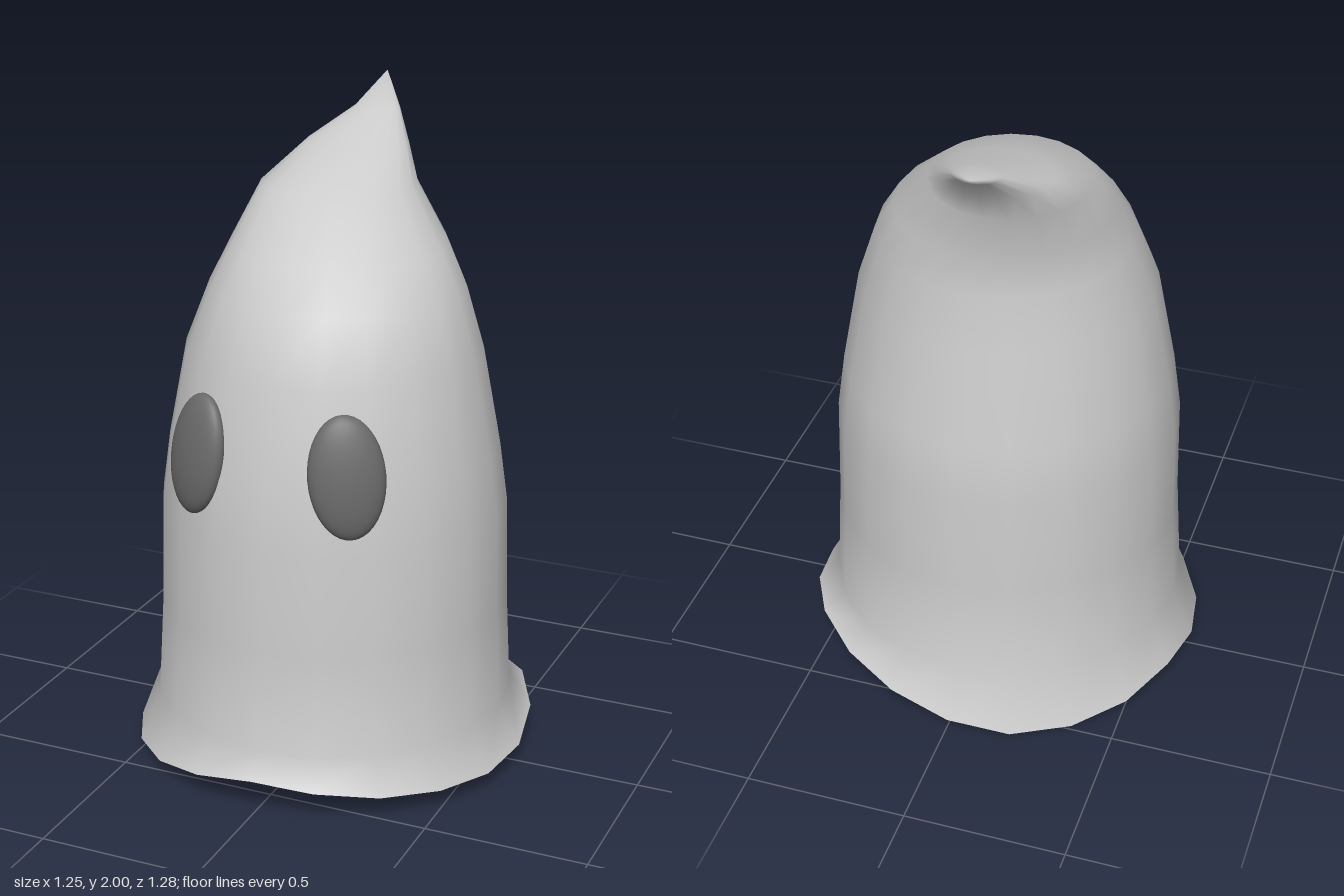
import * as THREE from 'three';

const SIDES = 20;

// Horizontal rings of the sheet: y, x min, x max, z back, z front
const RINGS = [
  [0.19, -0.56, 0.555, -0.535, 0.575],
  [0.5, -0.54, 0.54, -0.515, 0.56],
  [0.82, -0.535, 0.53, -0.51, 0.545],
  [1.0, -0.51, 0.505, -0.485, 0.52],
  [1.3, -0.45, 0.45, -0.43, 0.47],
  [1.48, -0.39, 0.385, -0.4, 0.38],
  [1.6, -0.345, 0.31, -0.395, 0.28],
  [1.75, -0.305, 0.17, -0.415, 0.07],
  [1.84, -0.235, 0.09, -0.46, -0.18],
  [1.92, -0.14, 0.005, -0.525, -0.41],
];
const TIP = [-0.105, 2, -0.64];

// Height of the wavy hem, from the front round towards +x
const HEM = [0.12, 0.105, 0.085, 0.07, 0.06, 0.07, 0.11, 0.135, 0.115, 0.08,
  0.037, 0.005, 0.01, 0.03, 0.06, 0.04, 0.02, 0.03, 0.05, 0.085];

function bodyGeometry() {
  const pos = [], index = [];
  const addRing = (x0, x1, z0, z1, yAt) => {
    for (let i = 0; i < SIDES; i++) {
      const a = (i / SIDES) * Math.PI * 2;
      pos.push((x0 + x1) / 2 + Math.sin(a) * (x1 - x0) / 2, yAt(i),
        (z0 + z1) / 2 + Math.cos(a) * (z1 - z0) / 2);
    }
  };
  addRing(-0.625, 0.622, -0.61, 0.64, (i) => HEM[i]);
  for (const [y, x0, x1, z0, z1] of RINGS) addRing(x0, x1, z0, z1, () => y);

  // Walls between neighbouring rings, then the pointed tip
  for (let r = 0; r < RINGS.length; r++) {
    for (let i = 0; i < SIDES; i++) {
      const j = (i + 1) % SIDES;
      const a = r * SIDES + i, b = r * SIDES + j;
      index.push(a, b, b + SIDES, a, b + SIDES, a + SIDES);
    }
  }
  const tip = pos.length / 3, last = RINGS.length * SIDES;
  pos.push(...TIP);
  for (let i = 0; i < SIDES; i++) index.push(last + i, last + (i + 1) % SIDES, tip);

  const g = new THREE.BufferGeometry();
  g.setAttribute('position', new THREE.Float32BufferAttribute(pos, 3));
  g.setIndex(index);
  g.computeVertexNormals();
  return g;
}

export function createModel() {
  const group = new THREE.Group();
  group.name = 'ghost';

  // Sheet body, open at the bottom
  const body = new THREE.Mesh(bodyGeometry(),
    new THREE.MeshStandardMaterial({ color: 0xcccccc, side: THREE.DoubleSide }));
  body.name = 'sheetBody';
  group.add(body);

  // Flattened oval eyes lying along the front of the sheet
  const eyeMaterial = new THREE.MeshStandardMaterial({ color: 0x6a6a6a });
  const eyeGeometry = new THREE.SphereGeometry(1, 32, 20);
  for (const [name, side, x] of [['leftEye', 1, 0.228], ['rightEye', -1, 0.25]]) {
    const eye = new THREE.Mesh(eyeGeometry, eyeMaterial);
    eye.name = name;
    eye.scale.set(0.113, 0.184, 0.05);
    eye.position.set(side * x, 1.053, x > 0.24 ? 0.445 : 0.453);
    eye.rotation.set(-0.14, side * 0.48, side * 0.07, 'YXZ');
    group.add(eye);
  }
  return group;
}
